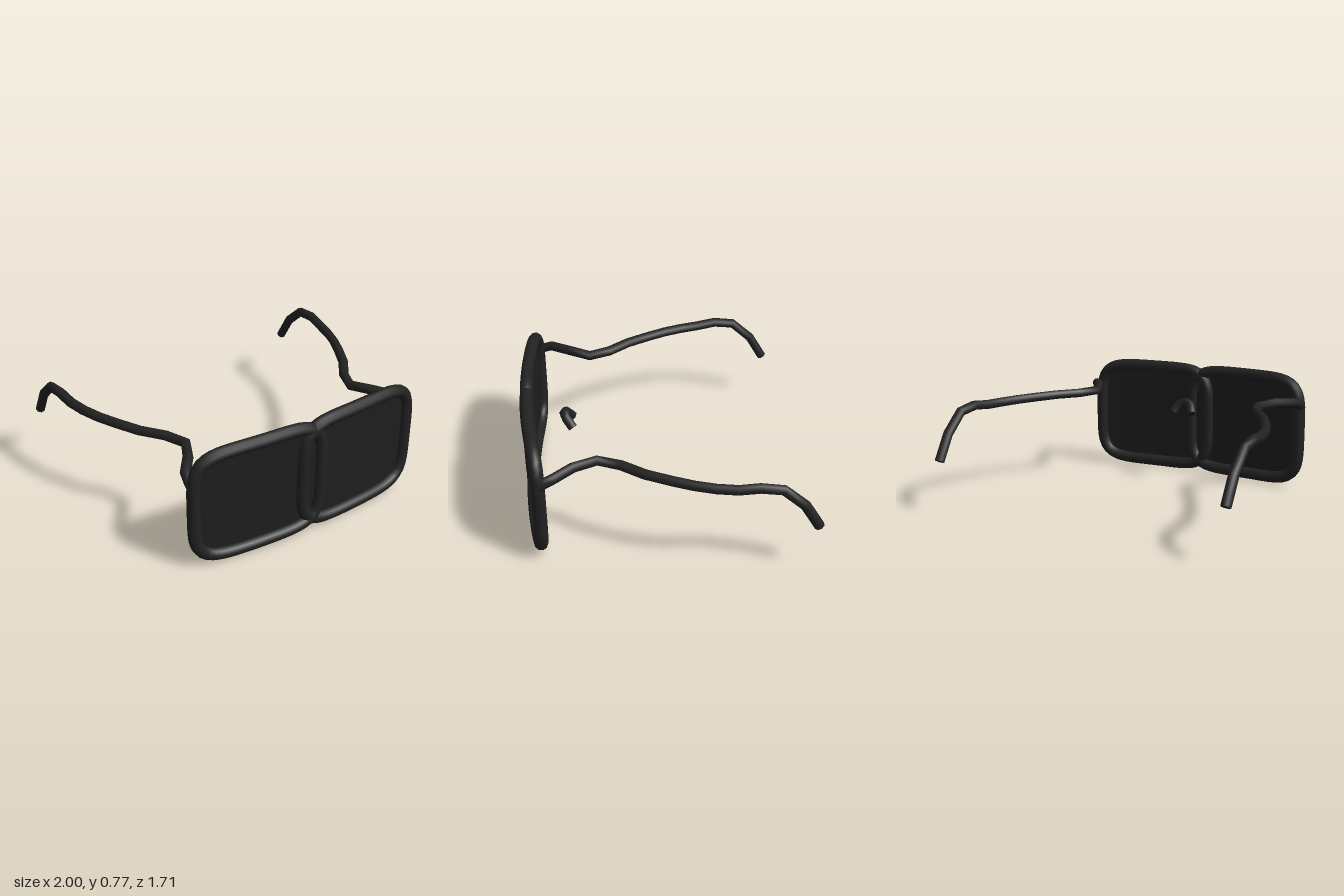
import * as THREE from 'three';

const V = (x, y, z) => new THREE.Vector3(x, y, z);

// The whole front follows one shallow bow.
const bow = (x) => 0.815 - 0.11 * x * x;

// Rounded-rectangle outline shared by rims and lenses.
const CX = 0.348, CY = 0.385, A = 0.413, B = 0.345, N = 4.8;
const halfHeight = (x) =>
  B * Math.pow(Math.max(0, 1 - Math.pow(Math.abs(x - CX) / A, N)), 1 / N);

function rimCurve(side) {
  const pts = [];
  for (let i = 0; i < 64; i++) {
    const t = (i / 64) * Math.PI * 2, c = Math.cos(t), s = Math.sin(t);
    // Polar form of the superellipse keeps the points evenly spread.
    const r = Math.pow(Math.pow(Math.abs(c), N) + Math.pow(Math.abs(s), N), -1 / N);
    const x = side * (CX + A * r * c);
    pts.push(V(x, CY + B * r * s, bow(x)));
  }
  return new THREE.CatmullRomCurve3(pts, true);
}

function lensGeometry(side) {
  const geo = new THREE.PlaneGeometry(2, 2, 32, 4);
  const p = geo.attributes.position;
  for (let i = 0; i < p.count; i++) {
    // Columns bunch up toward the ends to follow the rounded corners.
    const x = CX + A * Math.sin(p.getX(i) * Math.PI / 2);
    p.setXYZ(i, side * x, CY + halfHeight(x) * p.getY(i), bow(x));
  }
  if (side < 0) geo.index.array.reverse();
  geo.computeVertexNormals();
  return geo;
}

// Bent wire with one ring at each point and flat capped ends.
function wire(name, pts, radius, material) {
  const group = new THREE.Group();
  group.name = name;
  const curve = new THREE.CatmullRomCurve3(pts);
  curve.getPointAt = (u, target) => curve.getPoint(u, target);
  curve.getTangentAt = (u, target) => curve.getTangent(u, target);
  const tube = new THREE.Mesh(
    new THREE.TubeGeometry(curve, pts.length - 1, radius, 8, false), material);
  tube.name = name + 'Tube';
  group.add(tube);
  for (const u of [0, 1]) {
    const cap = new THREE.Mesh(new THREE.CircleGeometry(radius, 8), material);
    cap.name = name + 'End';
    const dir = curve.getTangent(u).multiplyScalar(u ? 1 : -1);
    cap.position.copy(curve.getPoint(u));
    cap.quaternion.setFromUnitVectors(V(0, 0, 1), dir);
    group.add(cap);
  }
  return group;
}

export function createModel() {
  const model = new THREE.Group();
  model.name = 'glasses';
  const frame = new THREE.MeshStandardMaterial({ color: 0x222222 });
  frame.name = 'frameBlack';
  const glass = new THREE.MeshStandardMaterial({ color: 0x1e1e1e, side: THREE.DoubleSide });
  glass.name = 'lensBlack';

  // Temple path for the left side: pinched behind the front, hooked at the ear.
  const temple = [
    [0.77, 0.55, 0.755], [0.77, 0.575, 0.72], [0.757, 0.595, 0.665],
    [0.67, 0.605, 0.55], [0.6, 0.595, 0.41], [0.655, 0.593, 0.275],
    [0.755, 0.593, 0.145], [0.83, 0.593, 0], [0.885, 0.593, -0.12],
    [0.925, 0.593, -0.24], [0.95, 0.595, -0.36], [0.963, 0.61, -0.48],
    [0.968, 0.592, -0.61], [0.968, 0.475, -0.74], [0.967, 0.32, -0.832],
  ];

  for (const side of [1, -1]) {
    const label = side > 0 ? 'left' : 'right';
    const rim = new THREE.Mesh(
      new THREE.TubeGeometry(rimCurve(side), 72, 0.04, 10, true), frame);
    rim.name = label + 'Rim';
    const lens = new THREE.Mesh(lensGeometry(side), glass);
    lens.name = label + 'Lens';
    model.add(rim, lens);
    model.add(wire(label + 'Temple', temple.map(([x, y, z]) => V(side * x, y, z)), 0.031, frame));
  }

  // Small arched nose rest behind the front.
  model.add(wire('noseRest', [
    V(-0.07, 0.472, 0.542), V(-0.04, 0.525, 0.58), V(0, 0.538, 0.592),
    V(0.04, 0.525, 0.58), V(0.07, 0.472, 0.542),
  ], 0.031, frame));

  return model;
}
